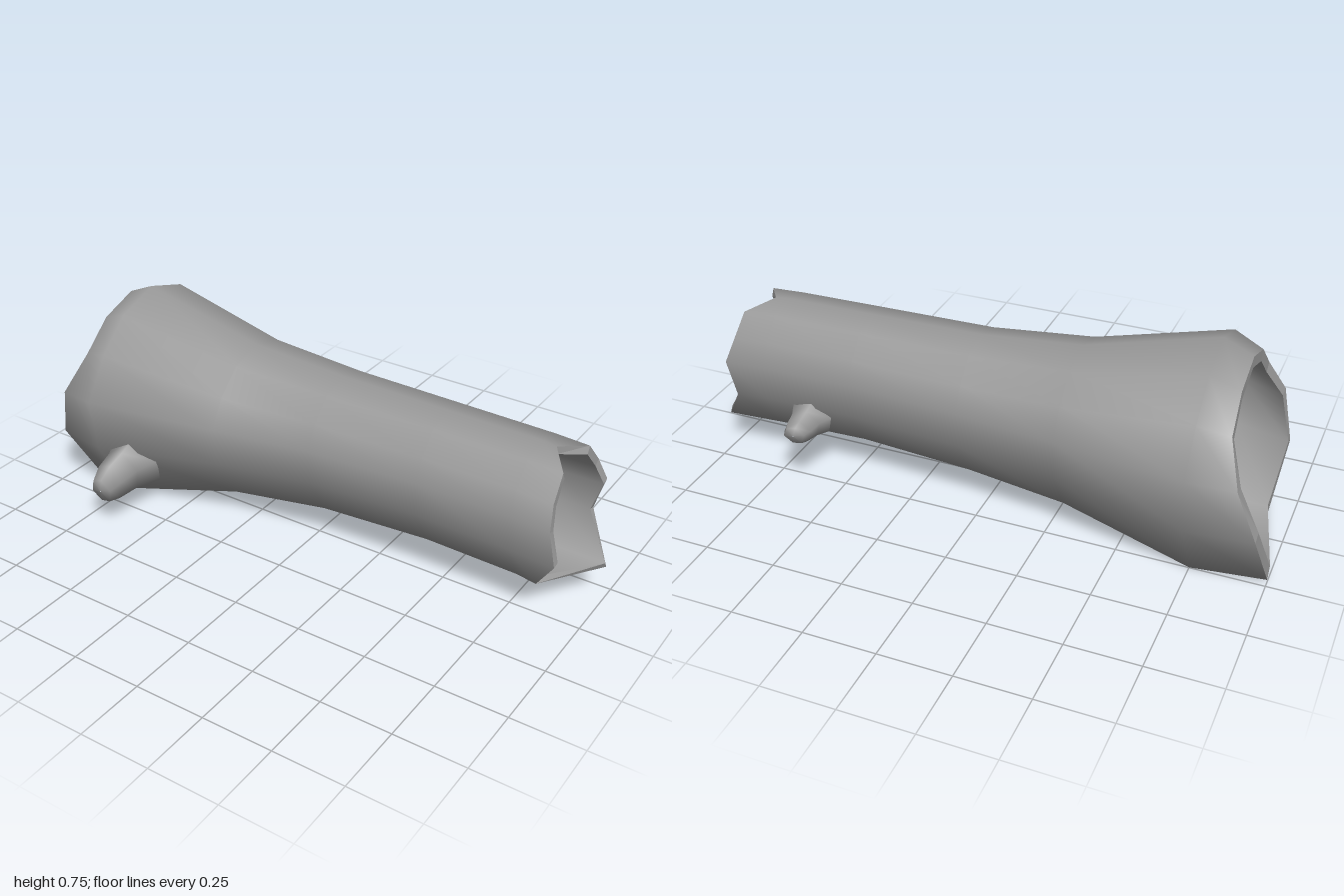
import * as THREE from 'three';

const material = new THREE.MeshStandardMaterial({ color: 0x999999 });

// Skin over a list of closed loops that all have the same number of points.
function loft(name, loops, flat = false) {
  const n = loops[0].length;
  const index = [];
  for (let r = 0; r < loops.length - 1; r++) {
    for (let i = 0; i < n; i++) {
      const j = (i + 1) % n;
      const a = r * n + i, b = r * n + j, c = b + n, d = a + n;
      index.push(a, b, c, a, c, d);
    }
  }
  let geometry = new THREE.BufferGeometry();
  geometry.setAttribute('position', new THREE.Float32BufferAttribute(loops.flat(2), 3));
  geometry.setIndex(index);
  if (flat) geometry = geometry.toNonIndexed();
  geometry.computeVertexNormals();
  const mesh = new THREE.Mesh(geometry, material);
  mesh.name = name;
  return mesh;
}

// Half profile of the trunk from top to bottom: [width, height], at the wide and the narrow end.
const WIDE = [[0, 1], [0.43, 0.93], [0.745, 0.785], [1, 0.59], [0.93, 0.325], [0.55, 0]];
const NARROW = [[0, 1], [0.51, 0.95], [0.84, 0.78], [1, 0.6], [1, 0.33], [0.55, 0]];

// Broken ends: one x per corner, going top, front, bottom, back.
const WIDE_END = [-0.85, -0.85, -0.855, -0.905, -0.945, -0.92, -1, -0.97, -0.905, -0.855, -0.85];
const NARROW_END = [0.83, 0.9, 0.905, 0.915, 0.94, 0.85, 1, 0.9, 0.935, 0.91, 0.9];

// Trunk stations: x (or x per corner), bottom, top, half width, centre z,
// profile blend, wall, and how far the hollow sits below the bark's centre.
const STATIONS = [
  [WIDE_END, 0.01, 0.7, 0.33, -0.047, 0, 0.04, 0],
  [-0.75, 0, 0.745, 0.37, -0.045, 0, 0.045, 0],
  [-0.3, 0.105, 0.63, 0.268, -0.06, 0.4, 0.035, 0],
  [0.05, 0.14, 0.603, 0.217, -0.073, 0.7, 0.03, 0.01],
  [0.45, 0.157, 0.597, 0.196, -0.073, 1, 0.026, 0.018],
  [0.78, 0.147, 0.594, 0.192, -0.073, 1, 0.026, 0.012],
  [NARROW_END, 0.136, 0.588, 0.192, -0.073, 1, 0.025, 0.003],
];

function trunkLoop([x, bottom, top, half, cz, blend, wall, sag], inner) {
  const w = inner ? wall : 0;
  const drop = inner ? sag : 0;
  const loop = [];
  for (let i = 0; i < 11; i++) {
    const k = i < 6 ? i : 11 - i;
    const side = i < 6 ? 1 : -1;
    const u = THREE.MathUtils.lerp(WIDE[k][0], NARROW[k][0], blend);
    const v = THREE.MathUtils.lerp(WIDE[k][1], NARROW[k][1], blend);
    loop.push([
      Array.isArray(x) ? x[i] : x,
      bottom + w - drop + v * (top - bottom - 2 * w),
      cz + side * u * (half - w),
    ]);
  }
  return loop;
}

// Worn branch stub: rings of [y, z, x radius, y radius, tilt], with a smooth closed tip.
function stub(name, x, rings, dir) {
  const loops = rings.map(([y, z, rx, ry, tilt]) => Array.from({ length: 6 }, (_, i) => {
    const a = i * Math.PI / 3 + 0.25;
    const wobble = 1 + 0.1 * Math.sin(i * 2.3 + 1);
    return [
      x + dir * Math.cos(a) * rx * wobble,
      y + Math.sin(a) * ry * wobble,
      z + Math.sin(a) * tilt,
    ];
  }));
  return loft(name, loops);
}

export function createModel() {
  const model = new THREE.Group();
  model.name = 'hollowLog';

  const outer = STATIONS.map((s) => trunkLoop(s, false));
  const inner = STATIONS.map((s) => trunkLoop(s, true));
  const end = STATIONS.length - 1;

  // Bark, hollow and the two broken rims
  model.add(loft('bark', outer));
  model.add(loft('hollow', [...inner].reverse()));
  model.add(loft('narrowRim', [outer[end], inner[end]], true));
  model.add(loft('wideRim', [inner[0], outer[0]], true));

  // Branch stubs on the front and the back
  model.add(stub('frontStub', -0.65, [
    [0.187, 0.21, 0.1, 0.117, 0.052],
    [0.18, 0.29, 0.07, 0.09, 0.02],
    [0.17, 0.365, 0.06, 0.077, 0.005],
    [0.155, 0.407, 0.042, 0.053, 0.01],
    [0.155, 0.413, 0.002, 0.002, 0],
  ], 1));
  model.add(stub('backStub', 0.625, [
    [0.24, -0.24, 0.08, 0.08, -0.03],
    [0.24, -0.285, 0.058, 0.06, -0.01],
    [0.238, -0.335, 0.05, 0.047, -0.005],
    [0.235, -0.36, 0.038, 0.037, -0.005],
    [0.235, -0.366, 0.002, 0.002, 0],
  ], -1));

  return model;
}
